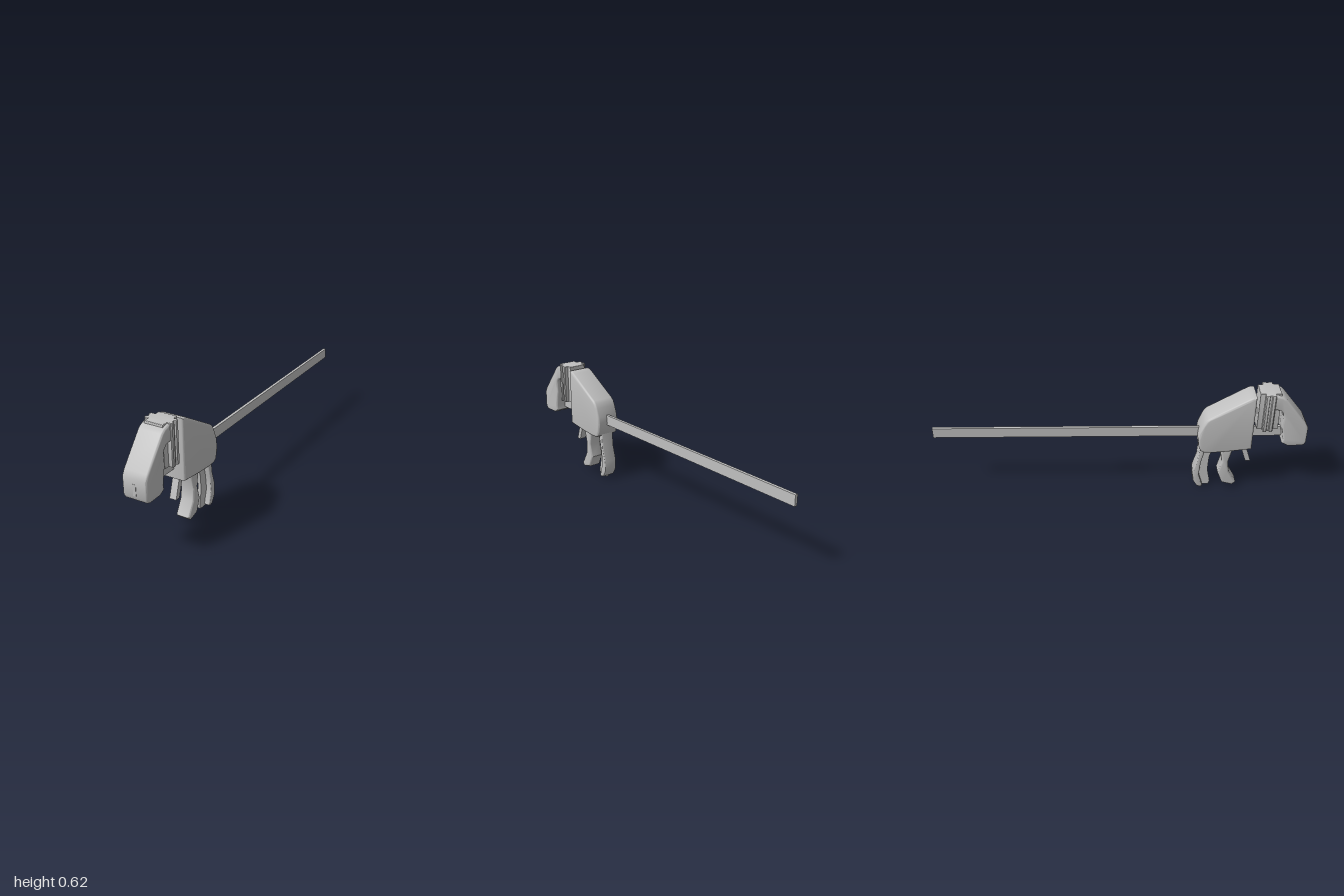
import * as THREE from 'three';
import { toCreasedNormals } from 'three/addons/utils/BufferGeometryUtils.js';

const grey = new THREE.MeshStandardMaterial({ color: 0xc0c0c0 });
grey.name = 'plain grey';

function makeShape(points) {
  return new THREE.Shape(points.map(([a, b]) => new THREE.Vector2(a, b)));
}

// Bevelled extrusion whose outer size stays exactly on the outline
function extrude(points, depth, bevel) {
  const geometry = new THREE.ExtrudeGeometry(makeShape(points), {
    depth: depth - 2 * bevel,
    bevelEnabled: bevel > 0,
    bevelThickness: bevel,
    bevelSize: bevel,
    bevelOffset: -bevel,
    bevelSegments: 3,
  });
  geometry.translate(0, 0, -(depth - 2 * bevel) / 2);
  return geometry;
}

export function createModel() {
  const group = new THREE.Group();

  function add(name, geometry) {
    const mesh = new THREE.Mesh(toCreasedNormals(geometry, 0.6), grey);
    mesh.name = name;
    group.add(mesh);
  }

  // Side profile given as [z, y], centred on x = 0
  function addProfile(name, points, width, bevel) {
    add(name, extrude(points, width, bevel).rotateY(-Math.PI / 2));
  }

  // Long flat bar running through jaw and body
  const bar = new THREE.BoxGeometry(0.016, 0.058, 2);
  bar.translate(0, 0.361, 0);
  add('slideBar', bar);

  // Fixed jaw: hooked arm on the end of the bar
  addProfile('jawArm', [
    [0.998, 0.325], [0.998, 0.415], [0.982, 0.445], [0.865, 0.59], [0.845, 0.605],
    [0.81, 0.616], [0.77, 0.616], [0.77, 0.53], [0.815, 0.53], [0.838, 0.525],
    [0.853, 0.51], [0.859, 0.48], [0.855, 0.44], [0.862, 0.4], [0.872, 0.345],
    [0.868, 0.32], [0.855, 0.31], [0.9, 0.302], [0.975, 0.302], [0.99, 0.308],
  ].filter((p) => p[0] !== 0.855 || p[1] !== 0.31), 0.134, 0.01);

  // Removable pad with a grooved flange on each side, as [x, z] cross-section
  const half = [
    [0.05, 0.727], [0.05, 0.753], [0.07, 0.753], [0.075, 0.758], [0.075, 0.772],
    [0.067, 0.775], [0.067, 0.785], [0.075, 0.788], [0.075, 0.802], [0.07, 0.807],
    [0.05, 0.807], [0.05, 0.838],
  ];
  const mirrored = half.map(([x, z]) => [-x, z]).reverse();
  const pad = extrude([...half, ...mirrored], 0.22, 0.003);
  pad.rotateX(Math.PI / 2).translate(0, 0.51, 0);
  add('jawPad', pad);

  // Main body that slides on the bar
  addProfile('body', [
    [0.71, 0.281], [0.71, 0.603], [0.69, 0.603], [0.672, 0.594], [0.47, 0.475],
    [0.455, 0.46], [0.443, 0.435], [0.425, 0.385], [0.42, 0.345], [0.424, 0.3],
    [0.436, 0.27], [0.455, 0.259], [0.5, 0.258], [0.58, 0.264],
  ], 0.138, 0.012);

  // Small release lever
  addProfile('releaseLever', [
    [0.682, 0.29], [0.652, 0.29], [0.693, 0.17], [0.721, 0.17],
  ], 0.038, 0);

  // Squeeze trigger
  addProfile('trigger', [
    [0.62, 0.29], [0.546, 0.29], [0.55, 0.24], [0.562, 0.175], [0.544, 0.1],
    [0.572, 0.032], [0.63, 0.016], [0.648, 0.034], [0.605, 0.11], [0.597, 0.175],
    [0.612, 0.24],
  ], 0.078, 0.01);

  // Rear grip with a thin rib along its front
  addProfile('gripShell', [
    [0.464, 0.29], [0.435, 0.29], [0.427, 0.19], [0.405, 0.11], [0.409, 0.05],
    [0.432, 0.012], [0.452, 0.004], [0.464, 0.012], [0.44, 0.09], [0.447, 0.17],
    [0.462, 0.24],
  ], 0.078, 0.006);
  addProfile('gripRib', [
    [0.515, 0.29], [0.45, 0.29], [0.437, 0.18], [0.428, 0.09], [0.442, 0.0],
    [0.5, 0.003], [0.507, 0.025], [0.49, 0.105], [0.494, 0.19], [0.51, 0.25],
  ], 0.018, 0);

  return group;
}
